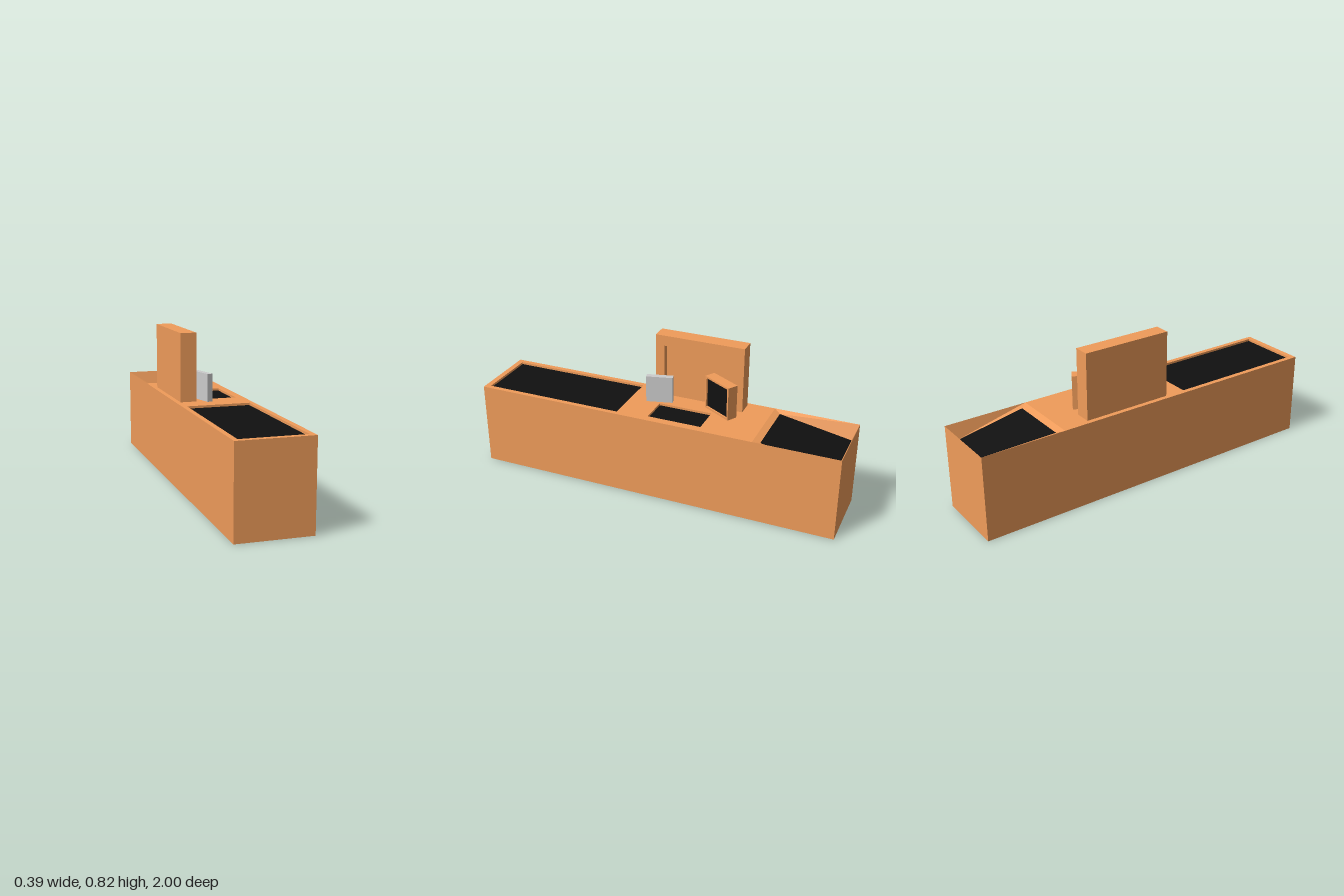
import * as THREE from 'three';

const wood = new THREE.MeshStandardMaterial({ color: 0xf09c5a, flatShading: true });
const black = new THREE.MeshStandardMaterial({ color: 0x101010, flatShading: true });
const grey = new THREE.MeshStandardMaterial({ color: 0xcccccc, flatShading: true });

const H = 0.458; // counter height
const W = 0.193; // counter half width

function mesh(name, geometry, material) {
  const m = new THREE.Mesh(geometry, material);
  m.name = name;
  return m;
}

function box(name, material, w, h, d, x, y, z) {
  const m = mesh(name, new THREE.BoxGeometry(w, h, d), material);
  m.position.set(x, y, z);
  return m;
}

// Flat-shaded geometry from four-cornered faces
function quads(faces) {
  const p = [];
  for (const [a, b, c, d] of faces) p.push(...a, ...b, ...c, ...a, ...c, ...d);
  const g = new THREE.BufferGeometry();
  g.setAttribute('position', new THREE.Float32BufferAttribute(p, 3));
  g.computeVertexNormals();
  return g;
}

// Horizontal ring of corners, counter-clockwise from above; back edge may be lower
function ring([x0, x1, z0, z1], yFront, yBack = yFront) {
  return [[x0, yFront, z1], [x1, yFront, z1], [x1, yBack, z0], [x0, yBack, z0]];
}

// Faces joining a lower ring to an upper one, facing outward
function band(low, high) {
  return low.map((c, i) => [c, low[(i + 1) % 4], high[(i + 1) % 4], high[i]]);
}

// Recess with wooden walls and a black floor
function recess(name, rim, floor, dFront, dBack = dFront) {
  const g = new THREE.Group();
  g.name = name;
  const top = ring(rim, H), low = ring(floor, H - dFront, H - dBack);
  // Swapped rings turn the walls inward
  g.add(mesh(name + 'Walls', quads(band(top, low)), wood));
  g.add(mesh(name + 'Floor', quads([low]), black));
  return g;
}

function rectPath(PathType, x0, x1, y0, y1) {
  return new PathType([[x0, y0], [x1, y0], [x1, y1], [x0, y1]].map(([x, y]) => new THREE.Vector2(x, y)));
}

function createCounter() {
  const g = new THREE.Group();
  g.name = 'counter';
  const belt = [-0.167, 0.167, 0.2, 0.97];
  const scanner = [-0.008, 0.15, -0.262, 0.03];
  const bagEdge = -0.55;

  // Body sides and underside
  const outline = [-W, W, -1, 1];
  const base = ring(outline, 0);
  g.add(mesh('counterBody', quads([...band(base, ring(outline, H)), [...base].reverse()]), wood));

  // Deck with openings for belt and scanner
  const deck = rectPath(THREE.Shape, -W, W, -1, -bagEdge);
  for (const [x0, x1, z0, z1] of [belt, scanner]) deck.holes.push(rectPath(THREE.Path, x0, x1, -z1, -z0));
  g.add(mesh('deck', new THREE.ShapeGeometry(deck).rotateX(-Math.PI / 2).translate(0, H, 0), wood));

  g.add(recess('conveyorBelt', belt, belt, 0.012));
  g.add(recess('scannerPlate', scanner, scanner, 0.012));
  // Bagging well slopes down towards the back
  g.add(recess('baggingWell', [-W, W, -1, bagEdge], [-0.165, 0.165, -0.97, -0.585], 0.012, 0.084));
  return g;
}

// Upright partition with a shallow niche open at the bottom
function createPartition() {
  const g = new THREE.Group();
  g.name = 'partition';
  const h = 0.359, niche = 0.035, z0 = -0.405, z1 = 0.085;
  g.add(box('partitionBack', wood, 0.085 - niche, h, z1 - z0, -0.168 + (0.085 - niche) / 2, H + h / 2, (z0 + z1) / 2));
  const arch = new THREE.Shape([
    [-z1, 0], [-0.037, 0], [-0.037, 0.302], [0.36, 0.302], [0.36, 0], [-z0, 0], [-z0, h], [-z1, h],
  ].map(([x, y]) => new THREE.Vector2(x, y)));
  const rim = new THREE.ExtrudeGeometry(arch, { depth: niche, bevelEnabled: false });
  rim.rotateY(Math.PI / 2).translate(-0.083 - niche, H, 0);
  g.add(mesh('partitionRim', rim, wood));
  return g;
}

// Turned monitor with a sunken screen; local origin is the bottom of its front face
function createMonitor() {
  const g = new THREE.Group();
  g.name = 'monitor';
  const w = 0.186, h = 0.183, t = 0.059, lip = 0.01;
  g.add(box('monitorCase', wood, w, h, t - lip, 0, h / 2, -lip - (t - lip) / 2));
  const frame = rectPath(THREE.Shape, -w / 2, w / 2, 0, h);
  frame.holes.push(rectPath(THREE.Path, -w / 2 + lip, w / 2 - lip, lip, h - lip));
  g.add(mesh('monitorFrame', new THREE.ExtrudeGeometry(frame, { depth: lip, bevelEnabled: false }).translate(0, 0, -lip), wood));
  const screen = mesh('screen', new THREE.PlaneGeometry(w - 2 * lip, h - 2 * lip), black);
  screen.position.set(0, h / 2, -lip + 0.001);
  g.add(screen);
  g.position.set(-0.0145, H, -0.285);
  g.rotation.y = 1.035;
  return g;
}

export function createModel() {
  const model = new THREE.Group();
  model.name = 'checkoutCounter';
  model.add(createCounter(), createPartition(), createMonitor());
  // Slim payment terminal standing on the deck
  const terminal = box('paymentTerminal', grey, 0.03, 0.146, 0.142, -0.035, H + 0.073, 0.042);
  terminal.rotation.y = 0.25;
  model.add(terminal);
  return model;
}
